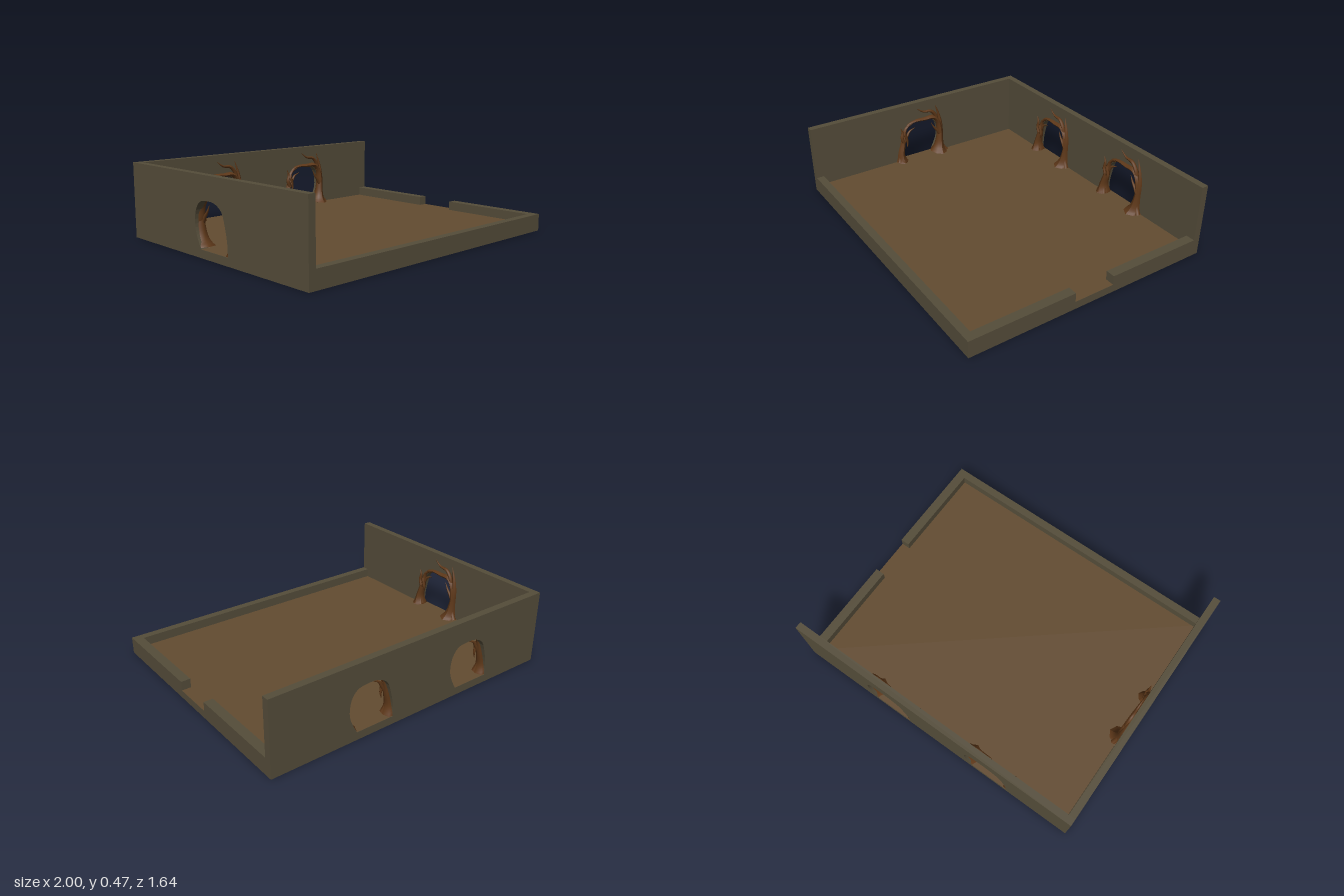
import * as THREE from 'three';

const stone = new THREE.MeshStandardMaterial({ color: 0x554d3a });
const earth = new THREE.MeshStandardMaterial({ color: 0x634c31, side: THREE.DoubleSide });
const bark = new THREE.MeshStandardMaterial({ color: 0x5e3819, side: THREE.DoubleSide });

const FLOOR = 0.05, TALL = 0.475, LOW = 0.11, THICK = 0.045, DEPTH = 0.82;

// Smooth path through [across, height] points at a given distance off the wall
const path = (out, ...pts) => new THREE.CatmullRomCurve3(pts.map(([x, y]) => new THREE.Vector3(x, y, out)));

// Tapering tube; flare widens it near the floor, depth stretches it through the wall
function limb(curve, radius, flare = 0, depth = 1) {
  const rows = 24, sides = 8;
  const geo = new THREE.TubeGeometry(curve, rows, 1, sides, false);
  const pos = geo.attributes.position, v = new THREE.Vector3();
  for (let i = 0; i <= rows; i++) {
    const t = i / rows, c = curve.getPointAt(t);
    const r = radius * (1 - t * t) + 0.001 + flare * Math.exp((FLOOR - c.y) / 0.04);
    for (let j = 0; j <= sides; j++) {
      const n = i * (sides + 1) + j;
      v.fromBufferAttribute(pos, n).sub(c).multiplyScalar(r);
      v.z *= depth;
      v.add(c);
      // keep the back of the limb inside the wall and the foot on the floor
      pos.setXYZ(n, v.x, Math.max(v.y, FLOOR), Math.max(v.z, -THICK + 0.003));
    }
  }
  geo.computeVertexNormals();
  return geo;
}

function add(parent, name, geo, mat) {
  const m = new THREE.Mesh(geo, mat);
  m.name = name;
  parent.add(m);
  return m;
}

function box(parent, name, x0, x1, y0, y1, z0, z1) {
  add(parent, name, new THREE.BoxGeometry(x1 - x0, y1 - y0, z1 - z0), stone)
    .position.set((x0 + x1) / 2, (y0 + y1) / 2, (z0 + z1) / 2);
}

// Two gnarled trunks meeting over a doorway
function treeArch() {
  const arch = new THREE.Group();
  arch.name = 'treeArch';
  const part = (name, ...args) => add(arch, name, limb(...args), bark);

  part('leftTrunk', path(0, [-0.172, 0.05], [-0.172, 0.11], [-0.156, 0.18], [-0.143, 0.24], [-0.122, 0.3], [-0.04, 0.335]), 0.02, 0.022, 1.35);
  part('rightTrunk', path(0, [0.135, 0.05], [0.145, 0.11], [0.152, 0.18], [0.158, 0.25], [0.15, 0.33], [0.122, 0.425]), 0.022, 0.04, 1.25);
  part('archBranch', path(0, [0.152, 0.2], [0.138, 0.29], [0.1, 0.334], [0.03, 0.336], [-0.05, 0.337], [-0.11, 0.318], [-0.145, 0.26]), 0.016, 0, 1.7);
  part('upperBranch', path(0.009, [0.13, 0.3], [0.115, 0.35], [0.08, 0.388], [0.02, 0.398], [-0.03, 0.432]), 0.013);

  // Small twigs on both trunks
  part('leftTwig', path(0.015, [-0.152, 0.2], [-0.165, 0.24], [-0.16, 0.28], [-0.172, 0.32]), 0.012);
  part('innerTwig', path(0.01, [-0.15, 0.19], [-0.125, 0.235], [-0.1, 0.272], [-0.055, 0.292]), 0.011);
  part('hangingTwig', path(0.016, [-0.14, 0.26], [-0.13, 0.225], [-0.123, 0.19], [-0.128, 0.155]), 0.011);
  part('rightTwig', path(0.01, [0.15, 0.18], [0.127, 0.22], [0.1, 0.255], [0.078, 0.295]), 0.01);

  // Roots fanning out from each foot
  for (const [foot, reach] of [[-0.172, 0.03], [0.145, 0.05]]) {
    for (const a of [0.15, 0.5, 0.85]) {
      const dx = Math.cos(a * Math.PI) * reach, dz = Math.sin(a * Math.PI) * 0.035 + 0.005;
      const curve = new THREE.CatmullRomCurve3([
        new THREE.Vector3(foot, 0.14, 0.012),
        new THREE.Vector3(foot + dx * 0.5, 0.085, dz * 0.6),
        new THREE.Vector3(foot + dx, FLOOR, dz),
      ]);
      part('root', curve, 0.01, 0.015);
    }
  }
  return arch;
}

// Wall with its inner face at z = 0, notched at each doorway and lined with tree arches
function archedWall(name, x0, x1, doors) {
  const g = new THREE.Group();
  g.name = name;
  const opening = path(0, [-0.165, 0.05], [-0.165, 0.11], [-0.148, 0.2], [-0.115, 0.29], [-0.05, 0.328],
    [0.03, 0.332], [0.09, 0.32], [0.13, 0.27], [0.143, 0.19], [0.13, 0.13], [0.09, 0.05]).getPoints(30);
  const s = new THREE.Shape().moveTo(x0, FLOOR);
  for (const d of doors) {
    for (const p of opening) s.lineTo(d + p.x, p.y);
    const arch = treeArch();
    arch.position.x = d;
    g.add(arch);
  }
  s.lineTo(x1, FLOOR).lineTo(x1, TALL).lineTo(x0, TALL).closePath();
  const panel = new THREE.ExtrudeGeometry(s, { depth: THICK, bevelEnabled: false });
  add(g, name + 'Panel', panel, stone).position.z = -THICK;
  return g;
}

export function createModel() {
  const model = new THREE.Group();
  model.name = 'room';

  // Base slab and floor
  box(model, 'base', -1, 1, 0, FLOOR, -DEPTH, DEPTH);
  add(model, 'floor', new THREE.PlaneGeometry(2, 2 * DEPTH).rotateX(-Math.PI / 2), earth).position.y = FLOOR + 0.001;

  // Tall walls with tree arches
  const back = archedWall('backWall', -1, 1, [-0.39, 0.355]);
  back.position.z = -DEPTH + THICK;
  const side = archedWall('rightWall', -DEPTH, DEPTH - THICK, [0]);
  side.rotation.y = Math.PI / 2;
  side.position.x = -1 + THICK;
  model.add(back, side);

  // Low walls, the one on the left side broken by an entrance
  box(model, 'frontLowWall', -1 + THICK, 1, FLOOR, LOW, 0.77, DEPTH);
  box(model, 'leftLowWallFront', 0.94, 1, FLOOR, LOW, 0.13, 0.77);
  box(model, 'leftLowWallBack', 0.94, 1, FLOOR, LOW, -DEPTH + THICK, -0.14);
  return model;
}
